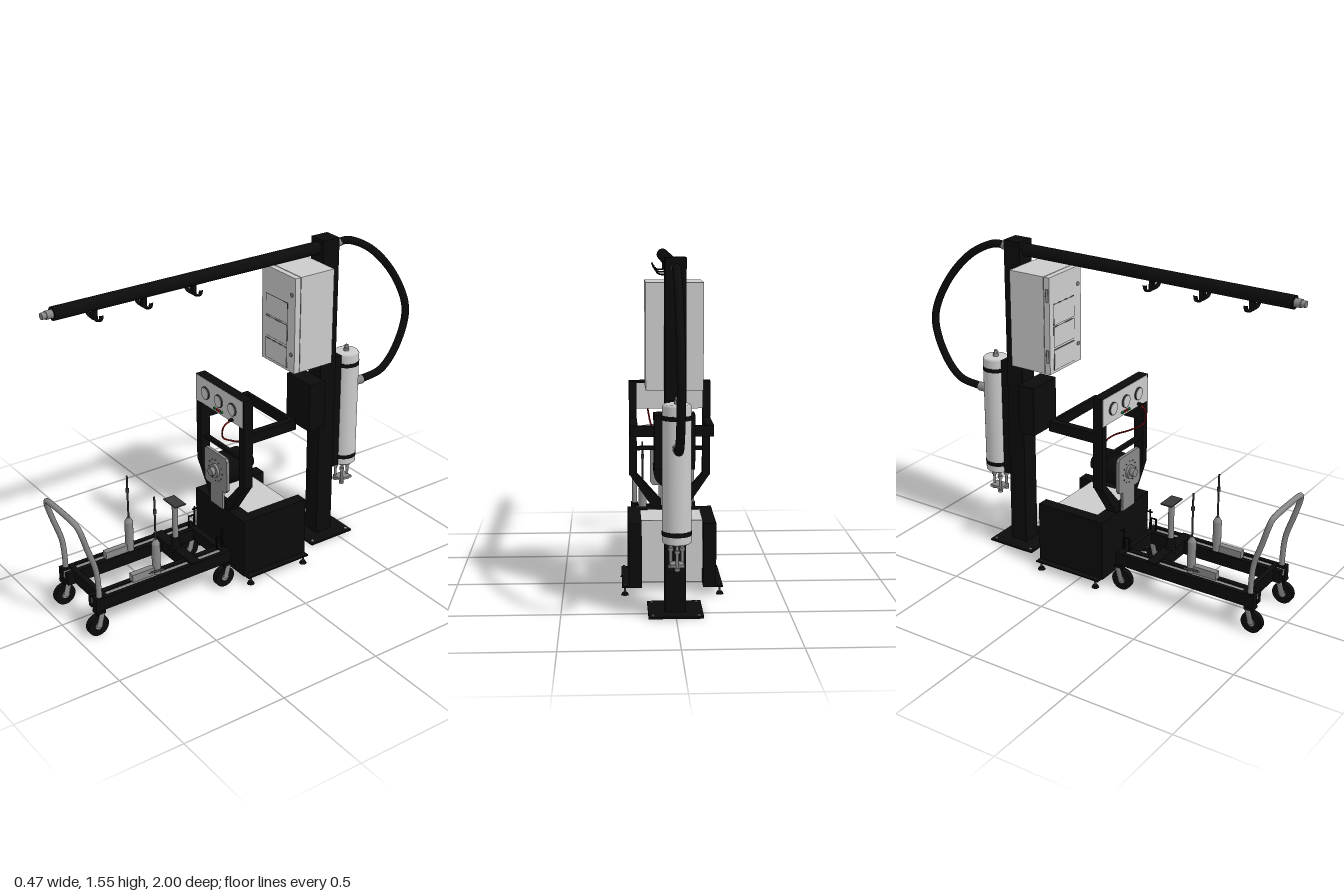
import * as THREE from 'three';

const mat = (color) => new THREE.MeshStandardMaterial({ color });
const black = mat(0x0b0b0b), grey = mat(0xcccccc), steel = mat(0x888888), dark = mat(0x3a3a3a);
const red = mat(0x881111), green = mat(0x118833);
const V = (x, y, z) => new THREE.Vector3(x, y, z);

export function createModel() {
  const model = new THREE.Group();

  const group = (name) => {
    const g = new THREE.Group();
    g.name = name;
    model.add(g);
    return g;
  };
  const add = (parent, name, geo, material) => {
    const m = new THREE.Mesh(geo, material);
    m.name = name;
    parent.add(m);
    return m;
  };
  // box given by its min and max on every axis
  const box = (p, name, x0, x1, y0, y1, z0, z1, m = black) => {
    const b = add(p, name, new THREE.BoxGeometry(x1 - x0, y1 - y0, z1 - z0), m);
    b.position.set((x0 + x1) / 2, (y0 + y1) / 2, (z0 + z1) / 2);
    return b;
  };
  // box with its x range mirrored to the side s
  const sideBox = (p, name, s, x0, x1, ...rest) =>
    box(p, name, s > 0 ? x0 : -x1, s > 0 ? x1 : -x0, ...rest);
  // cylinder between two points
  const rod = (p, name, a, b, r, m = black, seg = 24, r2 = r) => {
    const c = add(p, name, new THREE.CylinderGeometry(r2, r, a.distanceTo(b), seg), m);
    c.position.copy(a).lerp(b, 0.5);
    c.quaternion.setFromUnitVectors(V(0, 1, 0), b.clone().sub(a).normalize());
    return c;
  };
  const tube = (p, name, pts, r, m = black, seg = 48) =>
    add(p, name, new THREE.TubeGeometry(new THREE.CatmullRomCurve3(pts), seg, r, 14), m);
  // flat plate from an outline in x and y
  const plate = (p, name, outline, z, depth, m = black) => {
    const shape = new THREE.Shape(outline.map(([x, y]) => new THREE.Vector2(x, y)));
    add(p, name, new THREE.ExtrudeGeometry(shape, { depth, bevelEnabled: false }), m).position.z = z;
  };

  // post, base plate and boom
  const mast = group('mast');
  box(mast, 'post', -0.046, 0.046, 0.008, 1.546, -0.51, -0.42);
  box(mast, 'basePlate', -0.12, 0.12, 0, 0.009, -0.585, -0.335);
  for (const x of [-0.1, 0.1]) for (const z of [-0.565, -0.355])
    rod(mast, 'anchorBolt', V(x, 0.006, z), V(x, 0.013, z), 0.008, steel, 6);
  rod(mast, 'boom', V(0, 1.502, -0.43), V(0, 1.502, 0.95), 0.03, black, 32);
  rod(mast, 'boomNozzle', V(0, 1.502, 0.95), V(0, 1.502, 0.98), 0.019, steel);
  rod(mast, 'nozzleTip', V(0, 1.502, 0.98), V(0, 1.502, 1.0), 0.015, steel);
  const hookPts = [[0, 1.436], [0.03, 1.434], [0.052, 1.443], [0.062, 1.47]];
  for (const z of [0.755, 0.515, 0.263]) {
    box(mast, 'hookStem', -0.01, 0.01, 1.433, 1.48, z - 0.011, z + 0.011);
    for (const s of [-1, 1]) {
      const path = new THREE.CatmullRomCurve3(hookPts.map(([x, y]) => V(s * x, y, 0)));
      const hook = add(mast, 'hook', new THREE.TubeGeometry(path, 14, 0.004, 8), black);
      hook.position.z = z;
      hook.scale.z = 2.7;
    }
  }

  // air hose
  const hose = group('hose');
  rod(hose, 'upperFitting', V(0, 1.502, -0.5), V(0, 1.502, -0.55), 0.019, steel);
  tube(hose, 'hoseTube', [V(0, 1.505, -0.545), V(0, 1.503, -0.6), V(0, 1.428, -0.745), V(0, 1.255, -0.902),
    V(0, 1.065, -0.981), V(0, 0.89, -0.933), V(0, 0.785, -0.84), V(0, 0.762, -0.71)], 0.0185, black, 90);
  rod(hose, 'lowerFitting', V(0, 0.762, -0.66), V(0, 0.762, -0.715), 0.022, steel);

  // pressure cylinder behind the post
  const tank = group('tank');
  const tz = -0.613;
  box(tank, 'tankBracket', -0.035, 0.035, 0.35, 0.942, -0.555, -0.505);
  const profile = [[0, 0.343], [0.055, 0.343], [0.0625, 0.35], [0.0625, 0.932], [0.055, 0.942], [0, 0.942]];
  add(tank, 'tankBody', new THREE.LatheGeometry(profile.map(([r, y]) => new THREE.Vector2(r, y)), 40), grey).position.z = tz;
  for (const y of [0.39, 0.885]) rod(tank, 'strap', V(0, y - 0.01, tz), V(0, y + 0.01, tz), 0.064, black, 40);
  rod(tank, 'topValve', V(0, 0.94, tz), V(0, 0.957, tz), 0.013, steel);
  rod(tank, 'topKnob', V(0, 0.957, tz), V(0, 0.972, tz), 0.009, steel);
  for (const [x, z] of [[-0.025, -0.59], [0.025, -0.59], [0, -0.645]]) {
    rod(tank, 'drainPipe', V(x, 0.228, z), V(x, 0.35, z), 0.007, steel, 12);
    for (const y of [0.236, 0.312]) rod(tank, 'drainNut', V(x, y - 0.006, z), V(x, y + 0.006, z), 0.013, steel, 6);
  }
  box(tank, 'drainCrossbar', -0.03, 0.03, 0.245, 0.257, -0.65, -0.58, steel);

  // electrical cabinet
  const cabinet = group('cabinet');
  box(cabinet, 'cabinetBody', -0.125, 0.125, 0.972, 1.437, -0.42, -0.232, grey);
  box(cabinet, 'doorSeam', -0.122, 0.122, 0.976, 1.433, -0.234, -0.226, dark);
  box(cabinet, 'door', -0.125, 0.125, 0.972, 1.437, -0.228, -0.2, grey);
  for (const [y0, y1] of [[1.202, 1.305], [1.095, 1.196], [0.984, 1.085]]) {
    box(cabinet, 'panelRim', -0.094, 0.07, y0, y1, -0.202, -0.199, dark);
    box(cabinet, 'doorPanel', -0.091, 0.067, y0 + 0.003, y1 - 0.003, -0.201, -0.198, grey);
  }
  for (const y of [1.06, 1.352]) {
    rod(cabinet, 'latch', V(0.1, y, -0.2), V(0.1, y, -0.196), 0.01, steel);
    rod(cabinet, 'hinge', V(-0.128, y - 0.03, -0.212), V(-0.128, y + 0.03, -0.212), 0.006, steel, 12);
  }
  box(model, 'transformerBox', -0.09, 0.09, 0.622, 0.865, -0.415, -0.325);

  // base cabinet on levelling feet
  const base = group('base');
  box(base, 'innerBox', -0.14, 0.14, 0.045, 0.335, -0.155, 0.08, grey);
  box(base, 'frontPlate', -0.2, 0.2, 0.038, 0.337, 0.07, 0.135);
  for (const s of [-1, 1]) {
    sideBox(base, 'sidePanel', s, 0.14, 0.199, 0.038, 0.337, -0.225, 0.13);
    sideBox(base, 'footFlange', s, 0.188, 0.23, 0.038, 0.045, -0.225, 0.13);
    for (const z of [-0.203, 0.108]) {
      rod(base, 'footPad', V(s * 0.217, 0, z), V(s * 0.217, 0.012, z), 0.018, black, 20, 0.012);
      rod(base, 'footStem', V(s * 0.217, 0.01, z), V(s * 0.217, 0.055, z), 0.005, dark, 10);
    }
  }

  // gauge frame above the base
  const frame = group('frame');
  for (const s of [-1, 1]) {
    sideBox(frame, 'upright', s, 0.155, 0.191, 0.5, 0.948, 0.08, 0.13);
    plate(frame, 'taperedLeg', [[0.191, 0.505], [0.155, 0.505], [0.04, 0.375], [0.04, 0.335], [0.075, 0.335]]
      .map(([x, y]) => [s * x, y]), 0.08, 0.05);
    sideBox(frame, 'rearArm', s, 0.155, 0.191, 0.725, 0.775, -0.165, 0.085);
  }
  box(frame, 'rearCrossbar', -0.16, 0.16, 0.725, 0.775, -0.165, -0.147);
  box(frame, 'thinCrossbar', -0.16, 0.16, 0.618, 0.636, 0.09, 0.11);
  box(frame, 'topRail', -0.16, 0.16, 0.94, 0.948, 0.08, 0.13);
  box(frame, 'panelBack', -0.16, 0.16, 0.815, 0.942, 0.1, 0.126, grey);
  box(frame, 'gaugePanel', -0.189, 0.183, 0.814, 0.946, 0.124, 0.132, grey);
  for (const x of [-0.108, -0.002, 0.105]) {
    rod(frame, 'gaugeRim', V(x, 0.878, 0.128), V(x, 0.878, 0.138), 0.031, dark, 32);
    rod(frame, 'gaugeFace', V(x, 0.878, 0.13), V(x, 0.878, 0.14), 0.027, grey, 32);
  }
  [green, red, red, green].forEach((m, i) => {
    const x = -0.033 + i * 0.019;
    rod(frame, 'indicator', V(x, 0.832, 0.128), V(x, 0.832, 0.14), 0.006, m, 12);
  });
  rod(frame, 'cableSocket', V(0.105, 0.827, 0.128), V(0.105, 0.827, 0.15), 0.008, black, 12);
  tube(frame, 'cable', [V(0.105, 0.827, 0.145), V(0.1, 0.8, 0.178), V(0.09, 0.745, 0.175), V(0.075, 0.7, 0.11),
    V(0.06, 0.66, 0.03), V(0.05, 0.62, -0.01), V(0.04, 0.57, 0)], 0.004, red);

  // drive unit
  const drive = group('drive');
  rod(drive, 'motorBody', V(0, 0.528, 0.015), V(0, 0.528, 0.14), 0.078, black, 36);
  rod(drive, 'motorRear', V(0, 0.528, -0.042), V(0, 0.528, 0.02), 0.034);
  plate(drive, 'mountPlate', [[-0.078, 0.44], [0.078, 0.44], [0.091, 0.455], [0.091, 0.605], [0.078, 0.621],
    [-0.078, 0.621], [-0.091, 0.605], [-0.091, 0.455]], 0.14, 0.015, steel);
  box(drive, 'plateFoot', -0.05, 0.05, 0.34, 0.445, 0.14, 0.152, steel);
  rod(drive, 'hubFlange', V(0, 0.528, 0.15), V(0, 0.528, 0.168), 0.033, steel, 32);
  rod(drive, 'hub', V(0, 0.528, 0.165), V(0, 0.528, 0.187), 0.02, steel);
  for (let i = 0; i < 12; i++) {
    const a = i * Math.PI / 6, x = 0.054 * Math.cos(a), y = 0.528 + 0.054 * Math.sin(a);
    rod(drive, 'hubBolt', V(x, y, 0.15), V(x, y, 0.158), 0.003, dark, 6);
  }

  // cart deck, rails and castors
  const cart = group('cart');
  for (const s of [-1, 1]) {
    sideBox(cart, 'outerRail', s, 0.146, 0.168, 0.125, 0.186, 0.188, 0.908);
    sideBox(cart, 'slideRail', s, 0.12, 0.146, 0.15, 0.18, 0.188, 0.908, steel);
    sideBox(cart, 'innerRail', s, 0.093, 0.12, 0.125, 0.185, 0.188, 0.908);
    sideBox(cart, 'handleSocket', s, 0.135, 0.17, 0.122, 0.192, 0.868, 0.912);
    for (const z of [0.22, 0.902]) {
      const x = s * 0.152;
      rod(cart, 'wheel', V(x - 0.014, 0.051, z), V(x + 0.014, 0.051, z), 0.051, black, 32);
      rod(cart, 'wheelHub', V(x - 0.016, 0.051, z), V(x + 0.016, 0.051, z), 0.018, steel);
      for (const d of [-0.018, 0.018])
        rod(cart, 'fork', V(x + d, 0.045, z), V(x + d, 0.12, z - 0.02), 0.014, steel, 12).scale.x = 0.25;
      box(cart, 'castorPlate', x - 0.022, x + 0.022, 0.112, 0.126, z - 0.035, z + 0.01);
    }
    // hydraulic jacks with tall handles
    const x = s * 0.117;
    rod(cart, 'jackBody', V(x, 0.18, 0.565), V(x, 0.335, 0.565), 0.02, steel);
    rod(cart, 'jackNeck', V(x, 0.335, 0.565), V(x, 0.358, 0.565), 0.02, steel, 24, 0.008);
    rod(cart, 'jackRod', V(x, 0.35, 0.565), V(x, 0.575, 0.565), 0.0045, dark, 10);
    rod(cart, 'rodCollar', V(x, 0.49, 0.565), V(x, 0.51, 0.565), 0.008, dark, 12);
    box(cart, 'jackPump', x - 0.015, x + 0.015, 0.183, 0.22, 0.585, 0.7, steel);
    rod(cart, 'jackLink', V(s * 0.14, 0.2, 0.54), V(s * 0.115, 0.2, 0.68), 0.006, dark, 10);
    // locking hoop and lever at the docking end
    for (const z of [0.205, 0.233]) rod(cart, 'lockPost', V(x, 0.18, z), V(x, 0.25, z), 0.004, black, 10);
    rod(cart, 'lockBar', V(x, 0.248, 0.202), V(x, 0.248, 0.236), 0.004, black, 10);
    rod(cart, 'lockLever', V(x, 0.18, 0.2), V(x, 0.292, 0.2), 0.004, black, 10);
    rod(cart, 'leverGrip', V(x, 0.28, 0.185), V(x, 0.28, 0.212), 0.004, black, 10);
  }
  for (const [y1, z0, z1] of [[0.187, 0.195, 0.225], [0.192, 0.355, 0.405], [0.187, 0.845, 0.872]])
    box(cart, 'crossMember', -0.167, 0.167, 0.127, y1, z0, z1);

  // centre support stand
  rod(cart, 'standFoot', V(0, 0.175, 0.385), V(0, 0.25, 0.385), 0.026, black, 24, 0.018);
  rod(cart, 'standColumn', V(0, 0.24, 0.385), V(0, 0.435, 0.385), 0.014, steel);
  box(cart, 'standTop', -0.05, 0.05, 0.432, 0.438, 0.355, 0.415, dark);

  // push handle, mirrored about the middle
  const side = [[0.152, 0.13, 0.888], [0.152, 0.24, 0.887], [0.152, 0.34, 0.897], [0.152, 0.45, 0.932],
    [0.152, 0.53, 0.956], [0.14, 0.566, 0.966], [0.108, 0.58, 0.971]];
  const arch = [...side.map((p) => V(...p)), ...side.slice().reverse().map(([x, y, z]) => V(-x, y, z))];
  tube(cart, 'pushHandle', arch, 0.013, steel, 110);

  return model;
}
